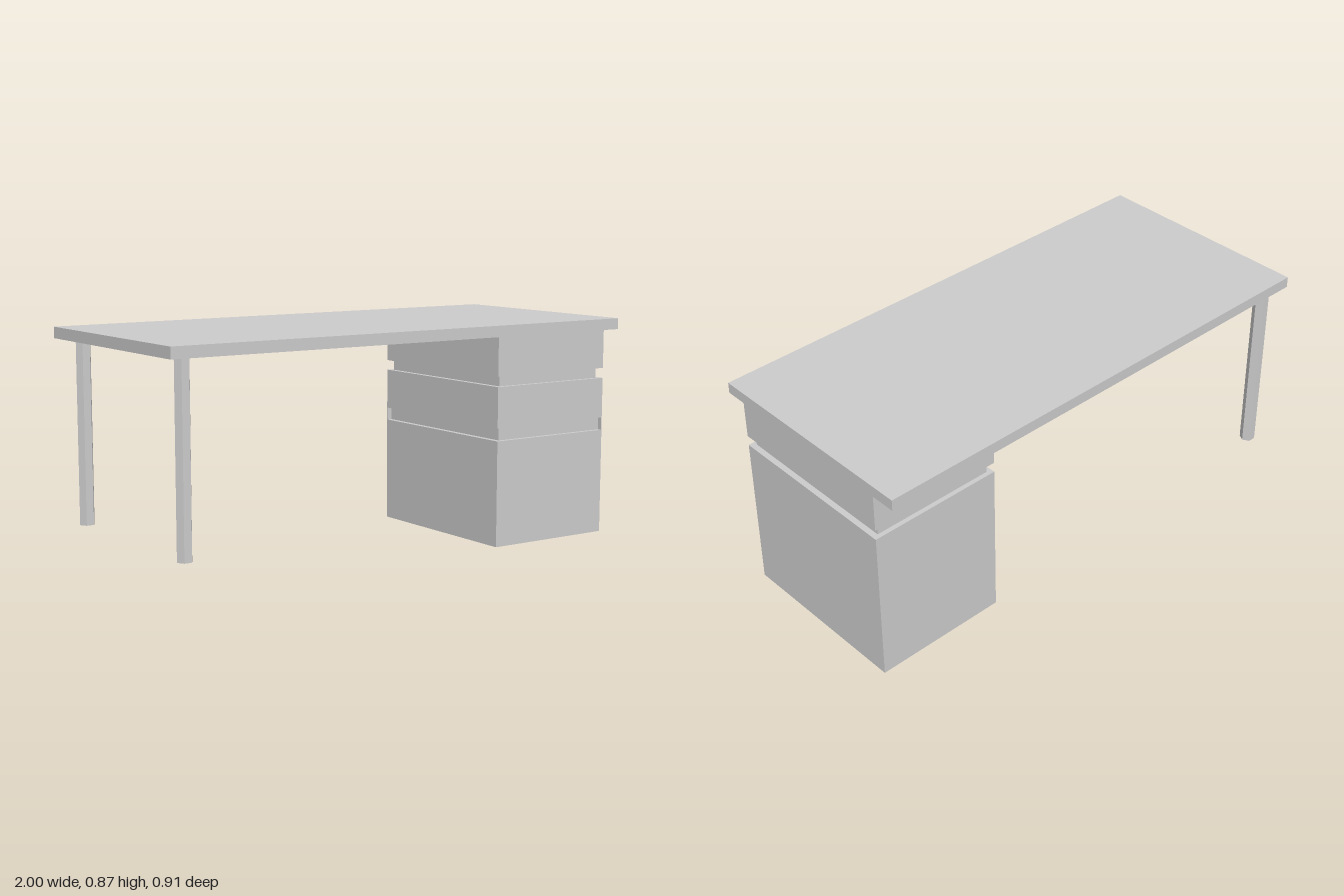
import * as THREE from 'three';

export function createModel() {
  const desk = new THREE.Group();
  desk.name = 'desk';
  const material = new THREE.MeshStandardMaterial({ color: 0xcccccc, flatShading: true });

  // Box given by its lower and upper bounds on each axis
  function box(name, [x0, x1], [y0, y1], [z0, z1], parent) {
    const mesh = new THREE.Mesh(new THREE.BoxGeometry(x1 - x0, y1 - y0, z1 - z0), material);
    mesh.position.set((x0 + x1) / 2, (y0 + y1) / 2, (z0 + z1) / 2);
    mesh.name = name;
    parent.add(mesh);
  }

  box('tabletop', [-1, 1], [0.825, 0.868], [-0.453, 0.453], desk);

  // Drawer cabinet: three blocks separated by recessed grip grooves
  const cabinet = new THREE.Group();
  cabinet.name = 'drawerCabinet';
  desk.add(cabinet);
  const X = [0.45, 0.99], Z = [-0.34, 0.383];
  box('topDrawer', X, [0.665, 0.825], Z, cabinet);
  box('upperGroove', [0.47, 0.967], [0.625, 0.665], [-0.322, 0.365], cabinet);
  box('middleDrawer', X, [0.465, 0.625], Z, cabinet);
  // The lower groove opens only to the front and the knee space
  box('lowerGroove', [0.47, 0.99], [0.415, 0.465], [-0.34, 0.365], cabinet);
  box('grooveSidePanel', [0.987, 0.99], [0.415, 0.465], [0.365, 0.383], cabinet);
  box('grooveBackPanel', [0.45, 0.47], [0.415, 0.465], [-0.34, -0.337], cabinet);
  box('bottomDrawer', X, [0, 0.415], Z, cabinet);

  // Hexagonal legs with corners pointing along x
  const legGeometry = new THREE.CylinderGeometry(0.03, 0.03, 0.71, 6, 1, false, Math.PI / 2);
  for (const [name, z] of [['frontLeg', 0.355], ['backLeg', -0.405]]) {
    const leg = new THREE.Mesh(legGeometry, material);
    leg.position.set(-0.905, 0.47, z);
    leg.name = name;
    desk.add(leg);
  }

  return desk;
}
